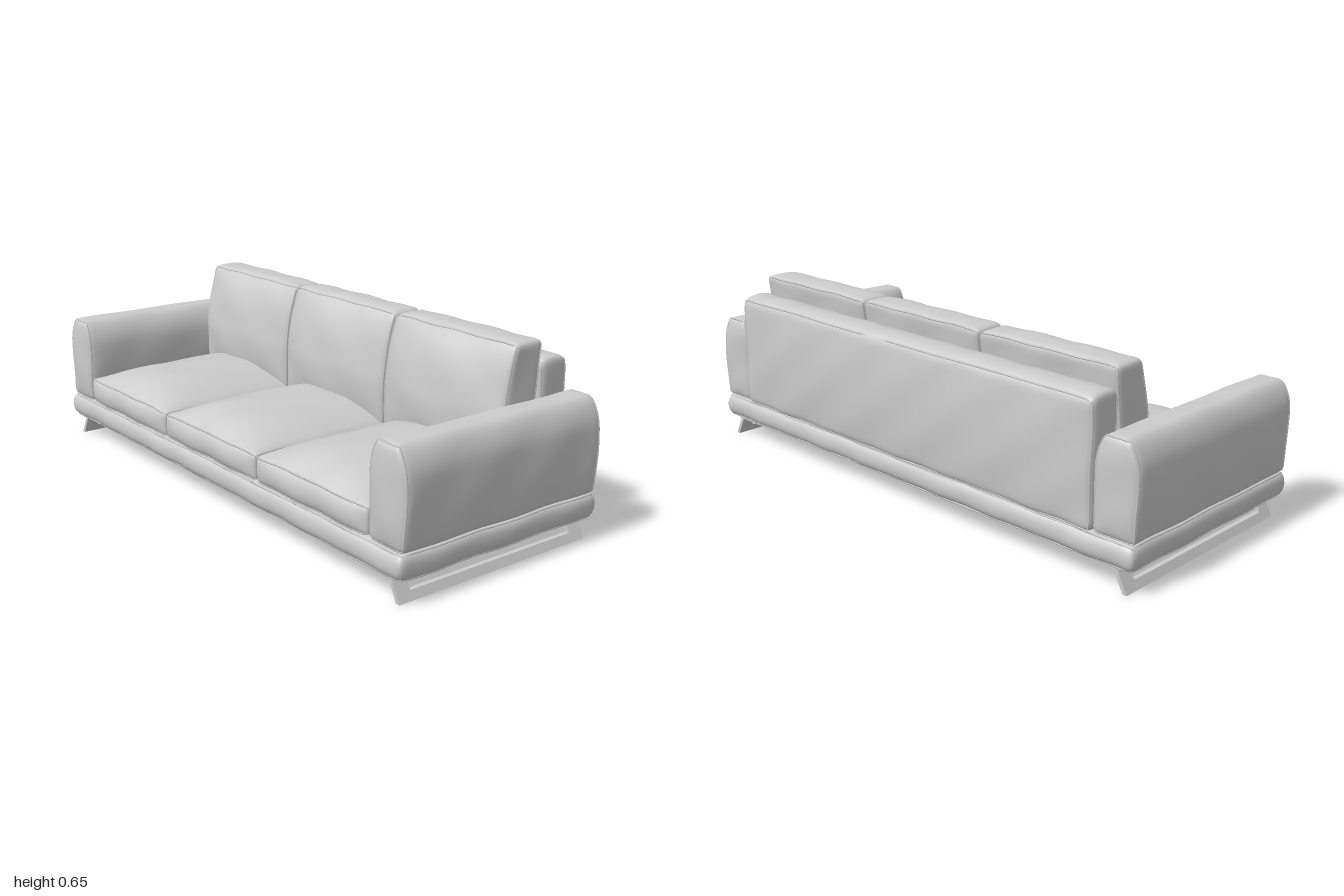
import * as THREE from 'three';
import { mergeVertices } from 'three/addons/utils/BufferGeometryUtils.js';

const material = new THREE.MeshStandardMaterial({ color: 0xcccccc, roughness: 0.8 });
const { clamp } = THREE.MathUtils;
const dome = (t, p = 2) => Math.max(0, 1 - Math.abs(t) ** p);

function addMesh(parent, geometry, name) {
  const mesh = new THREE.Mesh(geometry, material);
  mesh.name = name;
  parent.add(mesh);
}

// Upholstered block: a rounded box whose points are shaped by a rule.
// min/max are corners, r the edge radius, seams a list of [axis, side] faces to pipe.
// shape(p, n) moves p; n holds its position within the box from -1 to 1.
function upholstery(name, min, max, r, segments, shape, seams) {
  const group = new THREE.Group();
  group.name = name;
  const lo = new THREE.Vector3(...min), hi = new THREE.Vector3(...max);
  const mid = lo.clone().add(hi).multiplyScalar(0.5);
  const half = hi.clone().sub(lo).multiplyScalar(0.5);

  // maps a point of the unit cube surface to the finished soft surface
  const place = (c) => {
    const p = new THREE.Vector3(), core = new THREE.Vector3();
    for (const a of ['x', 'y', 'z']) {
      p[a] = Math.sin(c[a] * Math.PI / 2) * half[a];   // denser rows near edges
      core[a] = clamp(p[a], -half[a] + r, half[a] - r);
    }
    p.sub(core).setLength(r).add(core);
    const n = p.clone().divide(half);
    p.add(mid);
    shape(p, n);
    // slight creasing of the cloth
    const w = 0.0015;
    p.x += w * Math.sin(p.z * 23 + p.y * 17);
    p.y += w * Math.sin(p.x * 31 + p.z * 19);
    p.z += w * Math.sin(p.x * 21 + p.y * 27);
    return p;
  };

  let geometry = new THREE.BoxGeometry(2, 2, 2, ...segments);
  geometry.deleteAttribute('uv');
  geometry.deleteAttribute('normal');
  const pos = geometry.attributes.position;
  const v = new THREE.Vector3();
  for (let i = 0; i < pos.count; i++) {
    const p = place(v.fromBufferAttribute(pos, i));
    pos.setXYZ(i, p.x, p.y, p.z);
  }
  geometry = mergeVertices(geometry, 1e-5);
  geometry.computeVertexNormals();
  addMesh(group, geometry, 'padding');

  // piping around the chosen faces
  for (const [axis, side] of seams) {
    const [a, b] = ['x', 'y', 'z'].filter((k) => k !== axis);
    const points = [], steps = 14;
    for (const [a0, b0, da, db] of [[-1, -1, 1, 0], [1, -1, 0, 1], [1, 1, -1, 0], [-1, 1, 0, -1]]) {
      for (let i = 0; i < steps; i++) {
        const c = new THREE.Vector3();
        c[axis] = side;
        c[a] = a0 + da * 2 * i / steps;
        c[b] = b0 + db * 2 * i / steps;
        points.push(place(c));
      }
    }
    const curve = new THREE.CatmullRomCurve3(points, true);
    addMesh(group, new THREE.TubeGeometry(curve, 160, 0.0035, 5, true), 'piping');
  }
  return group;
}

// Slanted sled foot: a U outline extruded thinly, then sheared outward
function sledFoot(side) {
  const outline = new THREE.Shape([
    [-0.39, 0], [0.385, 0], [0.385, 0.078], [0.332, 0.078],
    [0.332, 0.027], [-0.338, 0.027], [-0.338, 0.078], [-0.39, 0.078],
  ].map(([x, y]) => new THREE.Vector2(x, y)));
  const geometry = new THREE.ExtrudeGeometry(outline, { depth: 0.015, bevelEnabled: false });
  geometry.rotateY(Math.PI / 2);
  geometry.translate(-0.0075, 0, 0);
  const pos = geometry.attributes.position;
  for (let i = 0; i < pos.count; i++) {
    pos.setX(i, pos.getX(i) + side * (0.957 - pos.getY(i) * 0.53));
  }
  geometry.computeVertexNormals();
  return geometry;
}

export function createModel() {
  const model = new THREE.Group();
  model.name = 'sofa';

  // Base plinth with softly swollen sides
  model.add(upholstery('base', [-0.985, 0.075, -0.395], [0.985, 0.162, 0.405], 0.022, [48, 10, 24],
    (p, n) => {
      p.x += 0.008 * n.x * dome(n.y);
      p.z += 0.013 * n.z * dome(n.y);
    }, [['y', 1], ['y', -1]]));

  // Underside panel and sled feet
  const panel = new THREE.BoxGeometry(1.87, 0.012, 0.775);
  panel.translate(0, 0.075, 0.0025);
  addMesh(model, panel, 'undersidePanel');
  for (const side of [-1, 1]) addMesh(model, sledFoot(side), side > 0 ? 'leftFoot' : 'rightFoot');

  // Arms: rounded over the top, bulging inward
  for (const side of [-1, 1]) {
    const xs = side > 0 ? [0.838, 0.988] : [-0.988, -0.838];
    model.add(upholstery(side > 0 ? 'leftArm' : 'rightArm',
      [xs[0], 0.16, -0.392], [xs[1], 0.473, 0.402], 0.018, [14, 24, 26],
      (p, n) => {
        const centre = side * 0.913;
        const t = clamp((p.y - 0.375) / 0.098, 0, 1);
        const inner = n.x * side < 0;
        p.x = centre + (p.x - centre) * Math.sqrt(1 - 0.72 * t * t);
        p.x += n.x * dome(n.y) * (inner ? 0.018 * dome(n.z, 6) : 0.009);
        p.z += 0.015 * n.z * dome(n.x) * dome(n.y, 4);
      }, [['z', 1], ['z', -1]]));
  }

  // Backrest
  model.add(upholstery('backrest', [-0.838, 0.16, -0.408], [0.838, 0.567, -0.285], 0.024, [44, 24, 12],
    (p, n) => {
      if (n.z < 0) p.z += 0.015 * n.z * dome(n.y) * dome(n.x, 6);
      if (n.y > 0) p.y += 0.012 * n.y * dome(n.z);
    }, [['z', -1], ['z', 1]]));

  // Three seat cushions with three back cushions
  for (let i = -1; i <= 1; i++) {
    const x0 = i * 0.557 - 0.277, x1 = i * 0.557 + 0.277;

    model.add(upholstery('seatCushion', [x0, 0.162, -0.29], [x1, 0.252, 0.402], 0.016, [26, 12, 28],
      (p, n) => {
        if (n.y > 0) p.y += 0.066 * n.y * dome(n.x, 2.4) * dome(n.z, 5);
        p.z += 0.014 * n.z * dome(n.y) * dome(n.x, 6);
      }, [['y', 1], ['y', -1]]));

    model.add(upholstery('backCushion', [x0, 0.235, -0.268], [x1, 0.637, -0.13], 0.02, [26, 26, 14],
      (p, n) => {
        const h = clamp((p.y - 0.4) / 0.24, 0, 1);
        if (n.z > 0) p.z += n.z * (0.038 * dome(n.x, 2.4) * dome(n.y, 4) - 0.022 * h * h);
        p.z -= 0.028 * h;
        if (n.y > 0) p.y += 0.008 * n.y * dome(n.x, 4) * dome(n.z);
      }, [['z', 1], ['z', -1]]));
  }
  return model;
}
